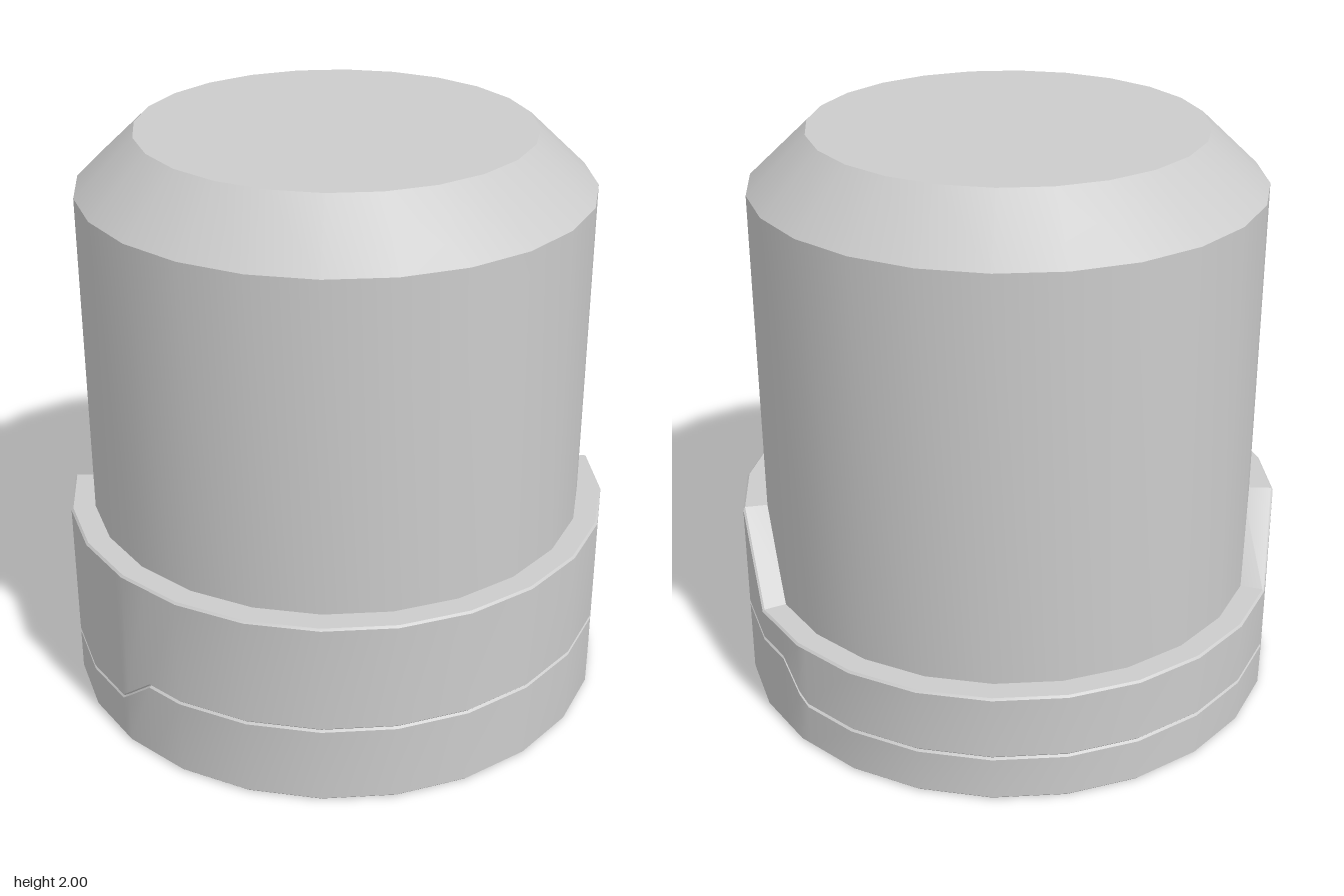
import * as THREE from 'three';
import { toCreasedNormals } from 'three/addons/utils/BufferGeometryUtils.js';

const SIDES = 24, OUTER = 0.95, BEVEL = 0.007;
const STEP = 360 / SIDES;

// Linear interpolation through [angle, height] stops
function heightAt(stops, a) {
  for (let i = 1; i < stops.length; i++) {
    const [a0, h0] = stops[i - 1], [a1, h1] = stops[i];
    if (a <= a1) return h0 + (h1 - h0) * (a - a0) / (a1 - a0);
  }
  return stops[stops.length - 1][1];
}

// Point on the 24-sided outline; angle runs from +z towards +x
function outlinePoint(r, deg, y) {
  const off = (deg % STEP) - STEP / 2;
  const rad = THREE.MathUtils.degToRad;
  const d = r * Math.cos(rad(STEP / 2)) / Math.cos(rad(off));
  return [d * Math.sin(rad(deg)), y, d * Math.cos(rad(deg))];
}

// Bevelled collar whose lower and upper edges follow height stops
function collar(name, bottom, top, innerBottom, innerTop, material) {
  const angles = new Set();
  for (let i = 0; i <= SIDES; i++) angles.add(i * STEP);
  [...bottom, ...top].forEach(([a]) => angles.add(a));
  const pos = [], index = [], cols = 6;
  const sorted = [...angles].sort((a, b) => a - b);
  sorted.forEach((a, i) => {
    const lo = heightAt(bottom, a), hi = heightAt(top, a);
    const section = [
      [innerBottom, lo], [OUTER - BEVEL, lo], [OUTER, lo + BEVEL],
      [OUTER, hi - BEVEL], [OUTER - BEVEL, hi], [innerTop, hi],
    ];
    section.forEach(([r, y]) => pos.push(...outlinePoint(r, a, y)));
    if (i === sorted.length - 1) return;
    for (let j = 0; j < cols - 1; j++) {
      const p = i * cols + j, q = p + cols;
      if (section[j][0] > 0) index.push(p, q, q + 1);
      index.push(p, q + 1, p + 1);
    }
  });
  const g = new THREE.BufferGeometry();
  g.setAttribute('position', new THREE.Float32BufferAttribute(pos, 3));
  g.setIndex(index);
  const mesh = new THREE.Mesh(toCreasedNormals(g, 0.5), material);
  mesh.name = name;
  return mesh;
}

export function createModel() {
  const group = new THREE.Group();
  group.name = 'steppedCap';
  const grey = new THREE.MeshStandardMaterial({ color: 0xcccccc });

  // Seam between base and collar: higher at the front, lower at the back
  const seam = [[0, 0.28], [83.5, 0.28], [92.5, 0.163], [267.5, 0.163], [276.5, 0.28], [360, 0.28]];
  // Collar rim drops around the back left
  const rim = [[0, 0.67], [60, 0.67], [75, 0.395], [210, 0.395], [225, 0.67], [360, 0.67]];
  const floor = [[0, 0], [360, 0]];

  group.add(collar('base', floor, seam, 0, 0.8, grey));
  group.add(collar('steppedCollar', seam, rim, 0.8, 0.84, grey));

  // Cylindrical body with a chamfered top
  const profile = [[0.865, 0.1], [0.865, 1.81], [0.665, 2], [0, 2]].map(p => new THREE.Vector2(...p));
  const body = new THREE.Mesh(toCreasedNormals(new THREE.LatheGeometry(profile, SIDES), 0.5), grey);
  body.name = 'body';
  group.add(body);
  return group;
}
